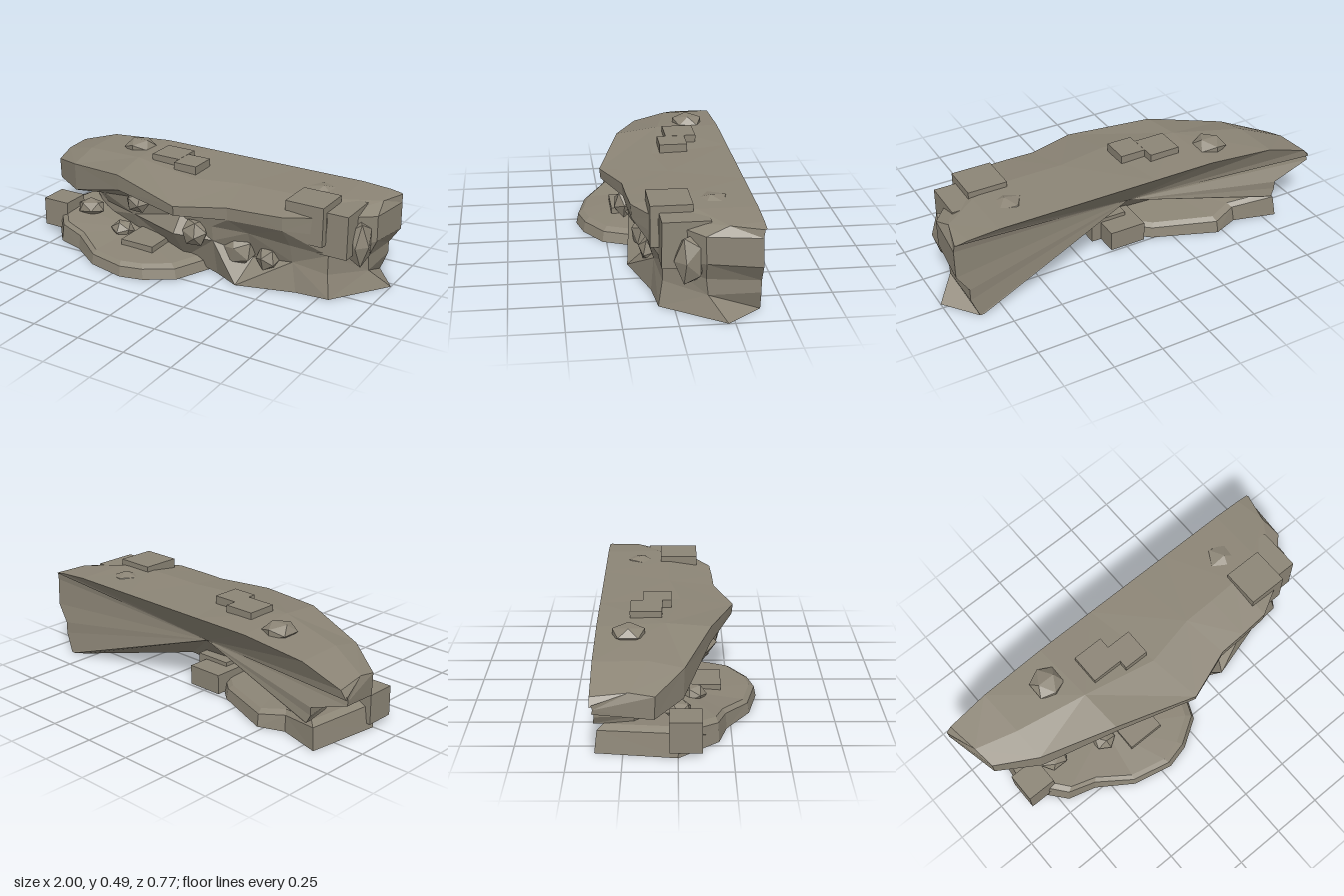
import * as THREE from 'three';

const rock = new THREE.MeshStandardMaterial({ color: 0x8c8576, flatShading: true });
rock.name = 'weathered stone';

// Faceted skin over columns of points; an optional hub closes the open rim as a fan
function skin(columns, { wrap = false, hub = null } = {}) {
  const pos = [];
  const tri = (a, b, c) => pos.push(...a, ...b, ...c);
  const n = columns.length, rows = columns[0].length;
  for (let i = 0; i < (wrap ? n : n - 1); i++) {
    const p = columns[i], q = columns[(i + 1) % n];
    for (let j = 0; j < rows - 1; j++) {
      if ((i + j) % 2) {
        tri(p[j], p[j + 1], q[j]);
        tri(q[j], p[j + 1], q[j + 1]);
      } else {
        tri(p[j], p[j + 1], q[j + 1]);
        tri(p[j], q[j + 1], q[j]);
      }
    }
  }
  if (hub) {
    const rim = [
      ...columns.map(c => c[0]),
      ...columns[n - 1].slice(1),
      ...columns.map(c => c[rows - 1]).reverse().slice(1),
      ...columns[0].slice(1, -1).reverse(),
    ];
    rim.forEach((p, i) => tri(p, rim[(i + 1) % rim.length], hub));
  }
  const g = new THREE.BufferGeometry();
  g.setAttribute('position', new THREE.Float32BufferAttribute(pos, 3));
  g.computeVertexNormals();
  return g;
}

export function createModel() {
  const group = new THREE.Group();
  const add = (name, geometry) => {
    const m = new THREE.Mesh(geometry, rock);
    m.name = name;
    group.add(m);
    return m;
  };

  // Overhanging cliff, left to right, one row per rib:
  // top: back edge x,y, lip x,z,top,bottom; wall: x, under z,y, middle z,y; foot: x,y,z, inner x,z
  const top = [
    [-1.0, 0.31, -1.0, -0.37, 0.30, 0.28],
    [-0.97, 0.35, -0.93, -0.10, 0.33, 0.22],
    [-0.75, 0.42, -0.73, 0.03, 0.38, 0.23],
    [-0.40, 0.45, -0.36, 0.16, 0.435, 0.35],
    [-0.08, 0.45, 0.05, 0.28, 0.395, 0.345],
    [0.20, 0.45, 0.30, 0.19, 0.41, 0.345],
    [0.40, 0.45, 0.44, 0.185, 0.415, 0.35],
    [0.58, 0.45, 0.59, 0.175, 0.42, 0.35],
    [0.75, 0.45, 0.76, 0.08, 0.42, 0.33],
    [0.90, 0.44, 0.95, -0.12, 0.40, 0.27],
    [0.96, 0.43, 0.97, -0.37, 0.39, 0.25],
  ];
  const wall = [
    [-0.80, -0.38, 0.21, -0.38, 0.17],
    [-0.75, -0.20, 0.20, -0.20, 0.15],
    [-0.62, -0.08, 0.20, -0.11, 0.14],
    [-0.36, 0.03, 0.27, 0.02, 0.17],
    [0.00, 0.13, 0.29, 0.20, 0.21],
    [0.20, 0.16, 0.28, 0.15, 0.20],
    [0.38, 0.12, 0.27, 0.06, 0.12],
    [0.60, 0.10, 0.25, 0.07, 0.15],
    [0.78, 0.05, 0.22, 0.05, 0.12],
    [0.91, -0.13, 0.18, -0.14, 0.10],
    [0.91, -0.38, 0.16, -0.38, 0.10],
  ];
  const foot = [
    [-0.78, 0.13, -0.385, -0.77, -0.385],
    [-0.74, 0.11, -0.20, -0.72, -0.23],
    [-0.62, 0.09, -0.10, -0.60, -0.14],
    [-0.34, 0.08, 0.00, -0.33, -0.05],
    [0.00, 0.04, 0.08, 0.02, 0.02],
    [0.20, 0, 0.10, 0.25, 0.05],
    [0.34, 0, 0.17, 0.39, 0.06],
    [0.63, 0, 0.085, 0.51, -0.06],
    [0.80, 0, 0.07, 0.65, -0.20],
    [1.00, 0, -0.22, 0.80, -0.35],
    [0.87, 0, -0.385, 0.85, -0.385],
  ];
  const cliff = top.map(([bx, by, lx, lz, hi, low], i) => {
    const [wx, uz, uy, mz, my] = wall[i];
    const [fx, fy, fz, ix, iz] = foot[i];
    return [
      [bx, by, -0.385],
      [bx * 0.4 + lx * 0.6, by * 0.6 + hi * 0.4 + 0.015, -0.385 * 0.4 + lz * 0.6],
      [lx, hi, lz],
      [lx, low, lz - 0.005],
      [wx, uy, uz],
      [wx, my, mz],
      [fx, fy, fz],
      [ix, fy, iz],
    ];
  });
  add('overhangingCliff', skin(cliff, { hub: [-0.01, 0.27, -0.235] }));

  // Low shelf in front of the cliff, rising to the left
  const cx = -0.35, cz = 0.03;
  const shelf = [
    [-0.82, -0.38], [-0.87, 0.0], [-0.71, 0.19], [-0.57, 0.23], [-0.40, 0.345],
    [-0.20, 0.39], [-0.08, 0.36], [0.06, 0.27], [0.14, 0.08], [0.02, -0.10],
    [-0.15, -0.245], [-0.47, -0.37], [-0.60, -0.32],
  ].map(([x, z]) => {
    const y = 0.052 + 0.08 * Math.min(1, Math.max(0, (-x - 0.4) / 0.6));
    const ring = (s, h) => [cx + (x - cx) * s, h, cz + (z - cz) * s];
    return [[cx, 0.095, cz], ring(0.9, y + 0.018), ring(0.97, y), [x, 0, z], [cx, 0, cz]];
  });
  add('rockShelf', skin(shelf, { wrap: true }));

  // Squared stone blocks: min and max corners
  [
    [0.57, 0.28, -0.09, 0.77, 0.48, 0.105],
    [0.68, 0.225, -0.155, 0.88, 0.445, 0.065],
    [-0.88, 0.03, -0.04, -0.73, 0.18, 0.11],
    [-0.30, 0.42, -0.23, -0.14, 0.488, -0.075],
    [-0.14, 0.42, -0.17, -0.01, 0.487, -0.03],
    [-0.31, 0.01, 0.02, -0.12, 0.11, 0.21],
    [-0.10, 0.01, -0.25, 0.09, 0.11, -0.06],
    [-0.05, 0.01, -0.14, 0.14, 0.13, 0.05],
  ].forEach(([x0, y0, z0, x1, y1, z1]) => {
    add('stoneBlock', new THREE.BoxGeometry(x1 - x0, y1 - y0, z1 - z0))
      .position.set((x0 + x1) / 2, (y0 + y1) / 2, (z0 + z1) / 2);
  });

  // Boulders: centre, then radii
  [
    [-0.48, 0.45, -0.23, 0.085, 0.045, 0.09],
    [0.62, 0.43, -0.20, 0.085, 0.04, 0.085],
    [-0.29, 0.28, 0.08, 0.07, 0.065, 0.06],
    [0.10, 0.225, 0.16, 0.075, 0.075, 0.06],
    [0.31, 0.155, 0.09, 0.10, 0.085, 0.06],
    [0.47, 0.14, 0.07, 0.065, 0.07, 0.06],
    [-0.39, 0.10, 0.08, 0.065, 0.05, 0.06],
    [-0.65, 0.14, 0.00, 0.08, 0.045, 0.07],
    [-0.73, 0.07, 0.08, 0.06, 0.04, 0.06],
    [0.89, 0.27, -0.06, 0.06, 0.13, 0.075],
  ].forEach(([x, y, z, rx, ry, rz], i) => {
    const g = new THREE.IcosahedronGeometry(1, 0);
    g.rotateY(i * 1.3).rotateX(i * 0.7).scale(rx, ry, rz);
    add('boulder', g).position.set(x, y, z);
  });

  return group;
}
